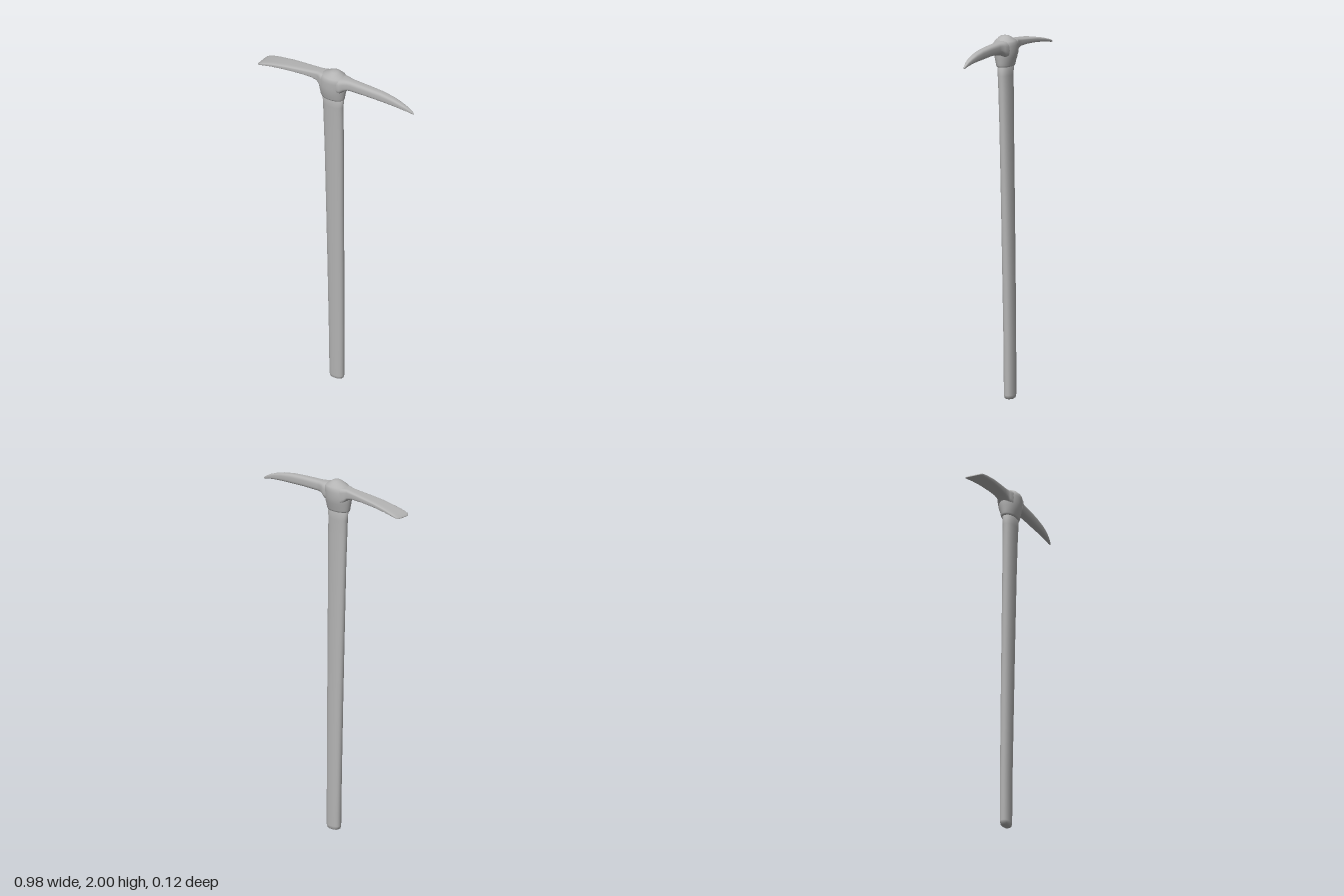
import * as THREE from 'three';

const SIDES = 32;

// Loft through rows of [position, min1, max1, min2, max2] along the y or x axis.
// Along y the pairs are x and z extents; along x they are z and y extents.
function loft(axis, rows, power) {
  const pos = [], index = [];
  const put = (s, u, v) => (axis === 'y' ? pos.push(u, s, v) : pos.push(s, v, u));
  const soft = (t) => Math.sign(t) * Math.pow(Math.abs(t), 2 / power);
  for (const [s, u0, u1, v0, v1] of rows) {
    for (let j = 0; j < SIDES; j++) {
      const a = (j / SIDES) * Math.PI * 2;
      put(s, (u0 + u1) / 2 + ((u1 - u0) / 2) * soft(Math.cos(a)),
        (v0 + v1) / 2 + ((v1 - v0) / 2) * soft(Math.sin(a)));
    }
  }
  for (let i = 0; i < rows.length - 1; i++) {
    for (let j = 0; j < SIDES; j++) {
      const k = (j + 1) % SIDES;
      const a = i * SIDES + j, b = i * SIDES + k;
      index.push(a, a + SIDES, b, b, a + SIDES, b + SIDES);
    }
  }
  // close both ends
  [0, rows.length - 1].forEach((i) => {
    const [s, u0, u1, v0, v1] = rows[i];
    const c = pos.length / 3;
    put(s, (u0 + u1) / 2, (v0 + v1) / 2);
    for (let j = 0; j < SIDES; j++) {
      const a = i * SIDES + j, b = i * SIDES + ((j + 1) % SIDES);
      if (i === 0) index.push(c, a, b);
      else index.push(c, b, a);
    }
  });
  const g = new THREE.BufferGeometry();
  g.setAttribute('position', new THREE.Float32BufferAttribute(pos, 3));
  g.setIndex(index);
  g.computeVertexNormals();
  return g;
}

export function createModel() {
  const group = new THREE.Group();
  const grey = new THREE.MeshStandardMaterial({ color: 0xb4b4b4 });
  grey.name = 'plain grey';
  const add = (name, geometry) => {
    const mesh = new THREE.Mesh(geometry, grey);
    mesh.name = name;
    group.add(mesh);
  };

  // Slightly leaning oval handle with a rounded foot
  add('handle', loft('y', [
    [0, -0.05, 0.008, -0.046, -0.01],
    [0.006, -0.06, 0.018, -0.053, -0.003],
    [0.022, -0.065, 0.024, -0.056, 0],
    [0.3, -0.068, 0.025, -0.054, 0.002],
    [0.7, -0.072, 0.028, -0.049, 0.009],
    [1.1, -0.077, 0.031, -0.042, 0.016],
    [1.5, -0.082, 0.035, -0.035, 0.024],
    [1.7, -0.086, 0.037, -0.032, 0.03],
    [1.78, -0.087, 0.038, -0.031, 0.034],
    [1.85, -0.092, 0.041, -0.032, 0.036],
  ], 2.3));

  // Oval eye with a lip below and a domed top
  add('eye', loft('y', [
    [1.828, -0.09, 0.036, -0.032, 0.034],
    [1.83, -0.098, 0.043, -0.039, 0.043],
    [1.838, -0.102, 0.047, -0.042, 0.046],
    [1.855, -0.104, 0.049, -0.046, 0.05],
    [1.88, -0.109, 0.053, -0.054, 0.057],
    [1.91, -0.112, 0.057, -0.06, 0.06],
    [1.945, -0.11, 0.06, -0.061, 0.061],
    [1.962, -0.1, 0.058, -0.059, 0.059],
    [1.972, -0.087, 0.048, -0.054, 0.054],
    [1.981, -0.069, 0.032, -0.043, 0.043],
    [1.991, -0.05, 0.018, -0.034, 0.034],
    [1.998, -0.036, 0.006, -0.022, 0.022],
    [2, -0.025, -0.005, -0.01, 0.01],
  ], 2));

  // Flat adze blade, widening and drooping towards its edge
  add('adzeBlade', loft('x', [
    [-0.491, -0.03, 0.044, 1.891, 1.895],
    [-0.486, -0.037, 0.052, 1.891, 1.9],
    [-0.475, -0.043, 0.058, 1.893, 1.906],
    [-0.46, -0.045, 0.058, 1.896, 1.913],
    [-0.4, -0.043, 0.054, 1.906, 1.929],
    [-0.31, -0.04, 0.049, 1.916, 1.946],
    [-0.22, -0.037, 0.042, 1.921, 1.957],
    [-0.15, -0.034, 0.036, 1.92, 1.965],
    [-0.115, -0.034, 0.034, 1.911, 1.97],
    [-0.1, -0.039, 0.039, 1.896, 1.971],
    [-0.08, -0.048, 0.048, 1.88, 1.973],
    [-0.03, -0.05, 0.05, 1.87, 1.973],
  ], 4));

  // Tapering pick that curves down to a point
  add('pick', loft('x', [
    [-0.02, -0.05, 0.05, 1.87, 1.975],
    [0.04, -0.049, 0.049, 1.885, 1.977],
    [0.06, -0.042, 0.038, 1.903, 1.976],
    [0.08, -0.036, 0.028, 1.911, 1.975],
    [0.1, -0.034, 0.024, 1.913, 1.974],
    [0.2, -0.035, 0.018, 1.914, 1.971],
    [0.29, -0.036, 0.011, 1.912, 1.966],
    [0.36, -0.035, 0.006, 1.91, 1.955],
    [0.41, -0.032, 0.001, 1.906, 1.941],
    [0.45, -0.029, -0.006, 1.901, 1.926],
    [0.48, -0.026, -0.013, 1.895, 1.909],
    [0.491, -0.022, -0.018, 1.893, 1.899],
  ], 3));

  return group;
}
